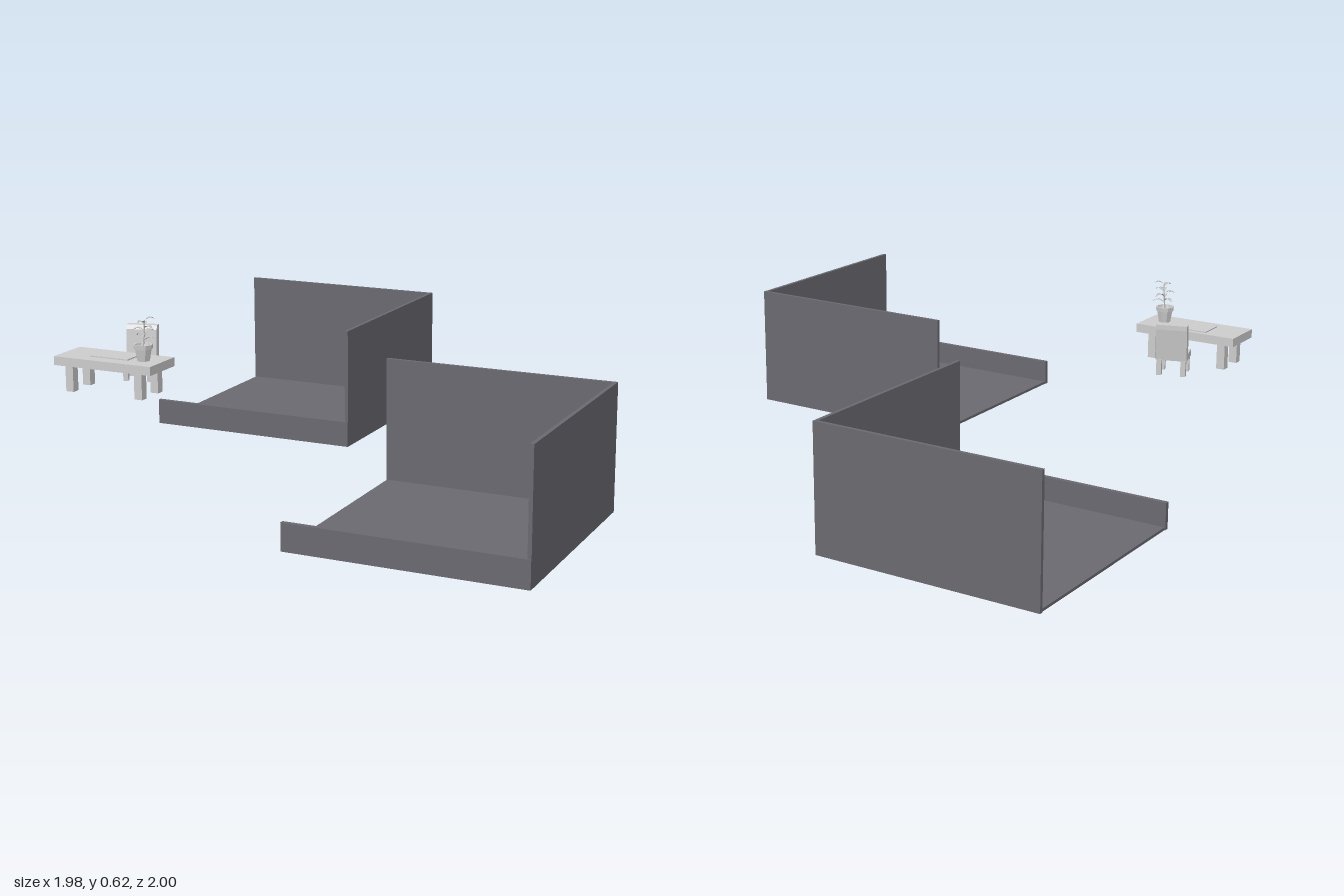
import * as THREE from 'three';

const roomGrey = new THREE.MeshStandardMaterial({ color: 0x6a6970 });
roomGrey.name = 'roomGrey';
const lightGrey = new THREE.MeshStandardMaterial({ color: 0xcccccc });
lightGrey.name = 'lightGrey';
const leafGrey = new THREE.MeshStandardMaterial({ color: 0xbdbdbd, side: THREE.DoubleSide, flatShading: true });
leafGrey.name = 'leafGrey';
const potGrey = new THREE.MeshStandardMaterial({ color: 0xcccccc, flatShading: true });
potGrey.name = 'potGrey';

function add(parent, name, geometry, material) {
  const mesh = new THREE.Mesh(geometry, material);
  mesh.name = name;
  parent.add(mesh);
  return mesh;
}

// Box given by its lower and upper limits on each axis
function box(parent, name, material, x0, x1, y0, y1, z0, z1) {
  const mesh = add(parent, name, new THREE.BoxGeometry(x1 - x0, y1 - y0, z1 - z0), material);
  mesh.position.set((x0 + x1) / 2, (y0 + y1) / 2, (z0 + z1) / 2);
  return mesh;
}

// Cutaway room: two tall walls, a low front wall, one open side
function createRoom(name, x, y, z) {
  const room = new THREE.Group();
  room.name = name;
  const w = 0.823, d = 0.813, t = 0.013;
  box(room, 'floor', roomGrey, 0.003, w - t, 0, 0.01, t, d - t);
  box(room, 'backWall', roomGrey, 0, w - t, 0, 0.445, 0, t);
  box(room, 'sideWall', roomGrey, w - t, w, 0, 0.445, 0, d);
  box(room, 'lowFrontWall', roomGrey, 0, w, 0, 0.095, d - t, d + 0.003);
  room.position.set(x, y, z);
  return room;
}

function createTable() {
  const table = new THREE.Group();
  table.name = 'table';
  box(table, 'tableTop', lightGrey, -0.872, -0.487, 0.435, 0.466, 0.522, 0.682);
  for (const x of [-0.82, -0.545]) {
    for (const z of [0.55, 0.654]) {
      box(table, 'tableLeg', lightGrey, x - 0.015, x + 0.015, 0.343, 0.435, z - 0.015, z + 0.015);
    }
  }
  box(table, 'deskMat', lightGrey, -0.755, -0.605, 0.466, 0.47, 0.54, 0.635);
  return table;
}

function createChair() {
  const chair = new THREE.Group();
  chair.name = 'chair';
  // Seat and leaning backrest share one side profile, extruded across the width
  const side = new THREE.Shape([
    [-0.04, 0.055], [0.05, 0.055], [0.055, 0.065], [0.05, 0.078], [-0.012, 0.078],
    [-0.022, 0.172], [-0.03, 0.187], [-0.055, 0.187], [-0.055, 0.17],
  ].map(([z, y]) => new THREE.Vector2(z, y)));
  const geometry = new THREE.ExtrudeGeometry(side, { depth: 0.11, bevelEnabled: false });
  geometry.translate(0, 0, -0.055).rotateY(-Math.PI / 2);
  add(chair, 'seatAndBackrest', geometry, lightGrey);
  for (const x of [-0.043, 0.043]) {
    for (const z of [-0.034, 0.04]) {
      box(chair, 'chairLeg', lightGrey, x - 0.009, x + 0.009, 0, 0.056, z - 0.009, z + 0.009);
    }
  }
  chair.position.set(-0.699, 0.343, 0.4);
  chair.rotation.y = 0.29;
  return chair;
}

// Folded pointed leaf that rises from the stem, then droops
function leafGeometry(length, width) {
  const points = [], index = [];
  const rows = 4;
  for (let i = 0; i <= rows; i++) {
    const t = i / rows;
    const half = width * Math.sin(Math.PI * Math.pow(t, 0.8)) / 2;
    const y = length * (0.9 * t - 0.85 * t * t);
    points.push(t * length, y + half * 0.3, -half, t * length, y, 0, t * length, y + half * 0.3, half);
    if (i < rows) {
      const a = i * 3;
      for (const k of [a, a + 1]) index.push(k, k + 1, k + 3, k + 1, k + 4, k + 3);
    }
  }
  const geometry = new THREE.BufferGeometry();
  geometry.setAttribute('position', new THREE.Float32BufferAttribute(points, 3));
  geometry.setIndex(index);
  geometry.computeVertexNormals();
  return geometry;
}

function createPlant() {
  const plant = new THREE.Group();
  plant.name = 'plant';
  const profile = [[0, 0], [0.022, 0], [0.029, 0.042], [0.033, 0.042], [0.034, 0.057], [0.028, 0.057], [0.026, 0.048], [0, 0.048]];
  add(plant, 'pot', new THREE.LatheGeometry(profile.map(([r, y]) => new THREE.Vector2(r, y)), 8), potGrey);
  const curve = new THREE.CatmullRomCurve3([
    new THREE.Vector3(0, 0.045, 0),
    new THREE.Vector3(0.004, 0.09, -0.002),
    new THREE.Vector3(0.008, 0.14, 0),
  ]);
  add(plant, 'stem', new THREE.TubeGeometry(curve, 5, 0.0025, 5), leafGrey);
  // Leaves spiral up the stem
  for (let i = 0; i < 9; i++) {
    const t = 0.28 + 0.72 * i / 8;
    const leaf = add(plant, 'leaf', leafGeometry(0.05 - 0.012 * t, 0.02), leafGrey);
    leaf.position.copy(curve.getPoint(t));
    leaf.rotation.y = i * 2.4 + 0.3;
  }
  plant.position.set(-0.557, 0.466, 0.608);
  return plant;
}

export function createModel() {
  const model = new THREE.Group();
  model.name = 'officeSet';
  model.add(createRoom('rearRoom', -0.988, 0, -1));
  model.add(createRoom('frontRoom', 0.165, 0.011, 0.184));
  model.add(createTable(), createChair(), createPlant());
  return model;
}
